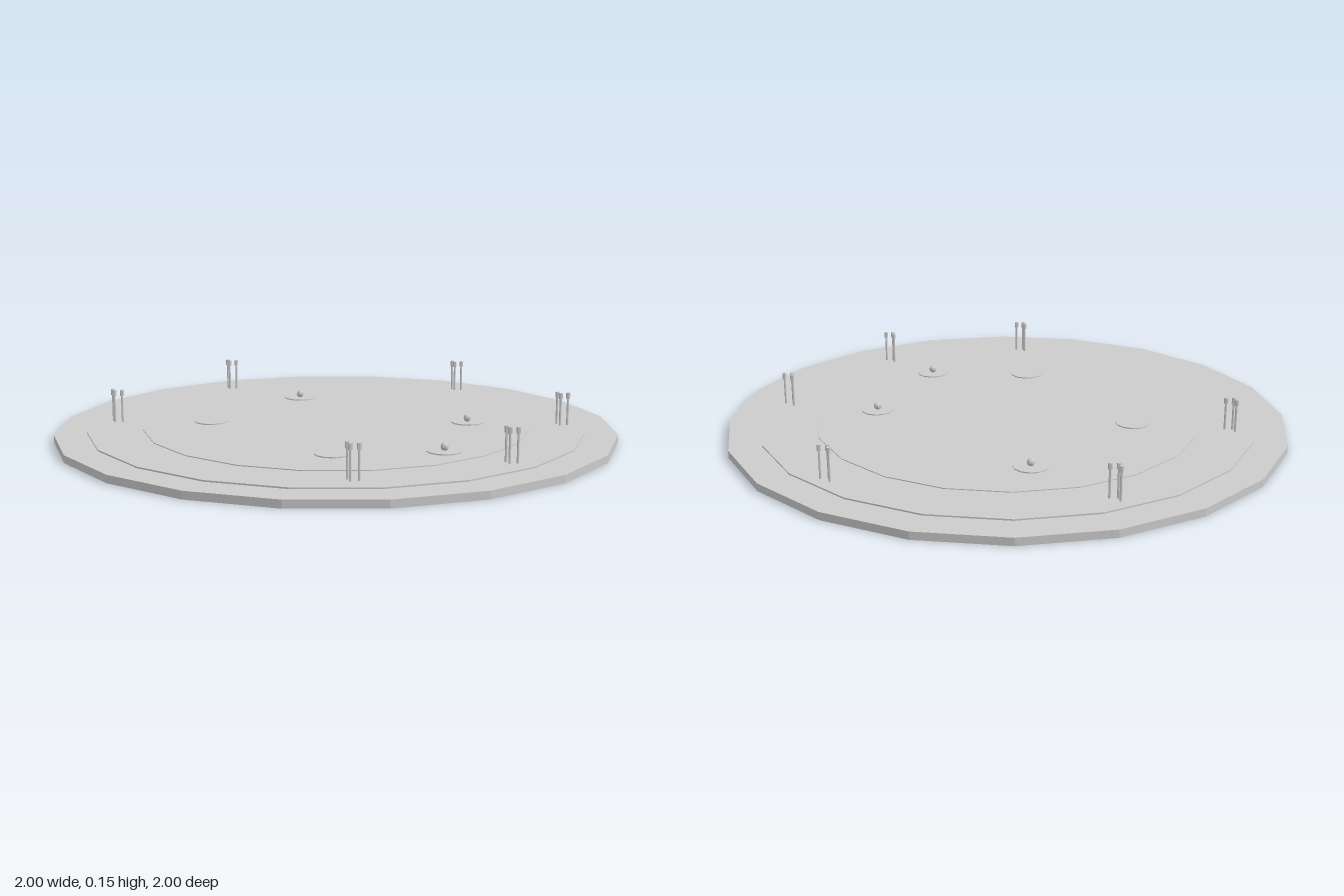
import * as THREE from 'three';

const material = new THREE.MeshStandardMaterial({ color: 0xcccccc, flatShading: true });

function addMesh(parent, geometry, name, x, y, z) {
  const mesh = new THREE.Mesh(geometry, material);
  mesh.name = name;
  mesh.position.set(x, y, z);
  parent.add(mesh);
  return mesh;
}

// Upright disc or rod between two heights
function addCylinder(parent, name, radius, bottom, top, sides, x = 0, z = 0) {
  const geometry = new THREE.CylinderGeometry(radius, radius, top - bottom, sides);
  return addMesh(parent, geometry, name, x, (top + bottom) / 2, z);
}

export function createModel() {
  const pond = new THREE.Group();
  pond.name = 'pond';

  // Stepped bank and water
  addCylinder(pond, 'bank', 1, 0, 0.027, 20);
  addCylinder(pond, 'shallowWater', 0.885, 0.02, 0.032, 20);
  addCylinder(pond, 'deepWater', 0.69, 0.025, 0.035, 20);

  // Lily pads: x, z, has a flower
  const lilies = [
    [-0.34, -0.355, true],
    [0.418, -0.228, true],
    [0.515, 0.225, true],
    [-0.415, 0.183, false],
    [0.203, 0.426, false],
  ];
  for (const [x, z, hasFlower] of lilies) {
    const lily = new THREE.Group();
    lily.name = 'lily';
    lily.position.set(x, 0, z);
    addCylinder(lily, 'lilyPad', 0.06, 0.033, 0.039, 12);
    if (hasFlower) addMesh(lily, new THREE.SphereGeometry(0.014, 8, 6), 'flower', 0, 0.051, 0);
    pond.add(lily);
  }

  // Reed clumps around the edge, three stems each
  const clumps = [
    [0.139, -0.81], [-0.698, -0.415], [0.729, -0.354],
    [-0.73, 0.327], [0.756, 0.262], [0.402, 0.685],
  ];
  const stems = [[-0.018, -0.006], [0, 0.01], [0.022, -0.006]];
  for (const [x, z] of clumps) {
    const clump = new THREE.Group();
    clump.name = 'reedClump';
    clump.position.set(x, 0, z);
    for (const [dx, dz] of stems) {
      addCylinder(clump, 'reedStem', 0.004, 0.025, 0.132, 6, dx, dz);
      addCylinder(clump, 'reedHead', 0.0075, 0.129, 0.15, 6, dx, dz);
    }
    pond.add(clump);
  }
  return pond;
}
